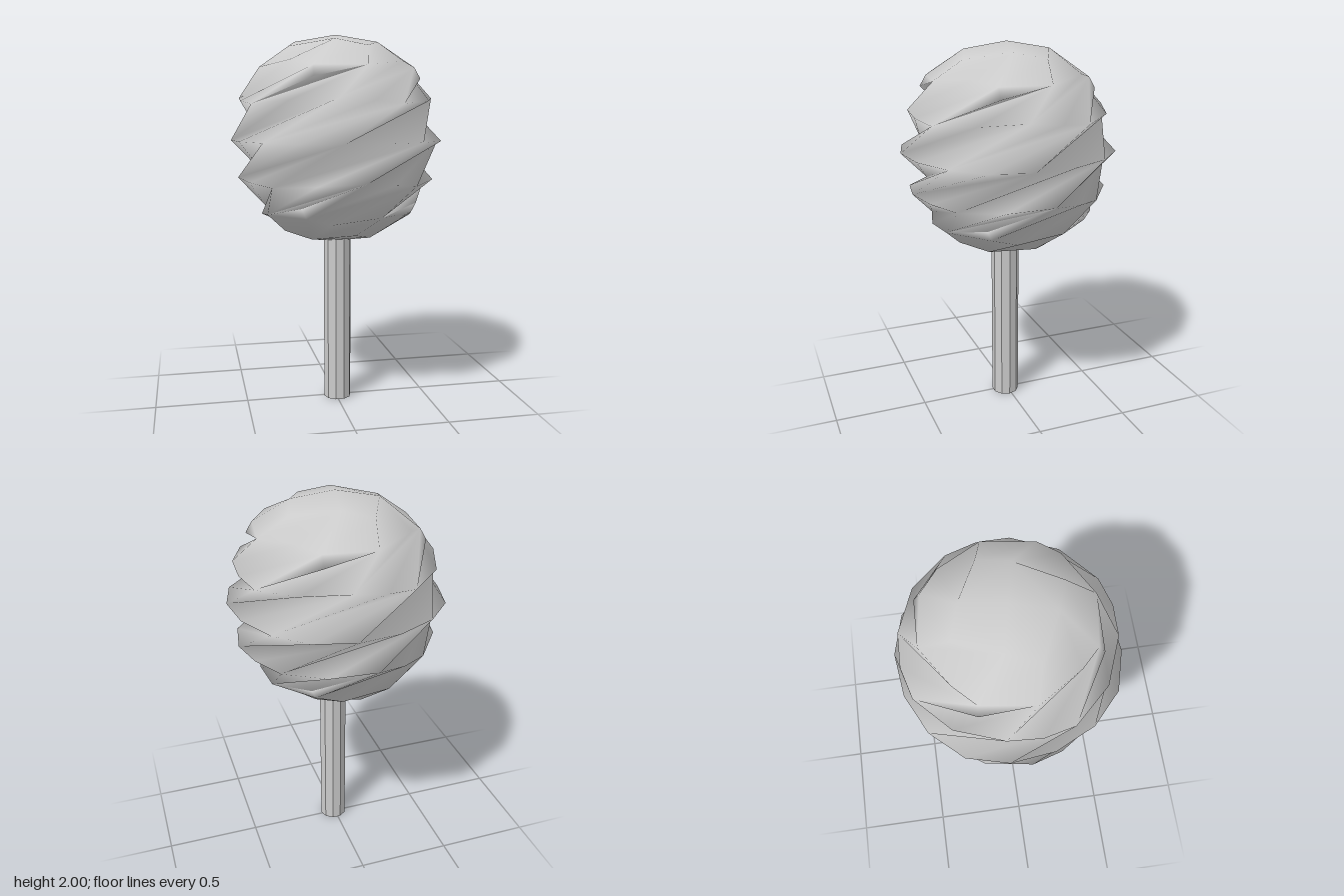
import * as THREE from 'three';
import { mergeVertices } from 'three/addons/utils/BufferGeometryUtils.js';

// Rounded cube face: depth and sideways offset by |grid step| (0 = face centre, 2 = cube edge)
const DEPTH = [[0.878, 0.819, 0.643], [0.819, 0.764, 0.599], [0.643, 0.599, 0.509]];
const SIDE = [[0, 0, 0], [0.351, 0.326, 0.302], [0.643, 0.599, 0.509]];
const SCALE = 0.632;
const TWIST = -5.11; // radians per unit of height
const START = THREE.MathUtils.degToRad(73.7);

function ballPoint(axis, sign, a, b) {
  const i = Math.abs(a), j = Math.abs(b);
  const p = [0, 0, 0];
  p[axis] = sign * DEPTH[i][j] * SCALE;
  p[(axis + 1) % 3] = sign * Math.sign(a) * SIDE[i][j] * SCALE;
  p[(axis + 2) % 3] = Math.sign(b) * SIDE[j][i] * SCALE;
  const [x, y, z] = p;
  const t = START + TWIST * y;
  const c = Math.cos(t), s = Math.sin(t);
  return [x * c - z * s, y, x * s + z * c];
}

// Rounded cube wrung around the vertical axis
function twistedBall() {
  const pos = [];
  for (let axis = 0; axis < 3; axis++) {
    for (const sign of [1, -1]) {
      for (let a = -2; a < 2; a++) {
        for (let b = -2; b < 2; b++) {
          const p = ballPoint(axis, sign, a, b);
          const q = ballPoint(axis, sign, a + 1, b);
          const r = ballPoint(axis, sign, a + 1, b + 1);
          const s = ballPoint(axis, sign, a, b + 1);
          // alternate the diagonal so it joins the odd grid points
          const tris = (a + b) % 2 !== 0 ? [p, q, r, p, r, s] : [p, q, s, q, r, s];
          for (const v of tris) pos.push(...v);
        }
      }
    }
  }
  const g = new THREE.BufferGeometry();
  g.setAttribute('position', new THREE.Float32BufferAttribute(pos, 3));
  const merged = mergeVertices(g, 1e-4);
  merged.computeVertexNormals();
  return merged;
}

export function createModel() {
  const group = new THREE.Group();
  group.name = 'twistedLollipop';

  const ball = new THREE.Mesh(twistedBall(), new THREE.MeshStandardMaterial({ color: 0xcccccc }));
  ball.name = 'twistedBall';
  ball.position.y = 1.445;
  group.add(ball);

  // Ten-sided stick, slightly off the ball's axis
  const stick = new THREE.Mesh(
    new THREE.CylinderGeometry(0.075, 0.075, 0.95, 10),
    new THREE.MeshStandardMaterial({ color: 0xcccccc, flatShading: true })
  );
  stick.name = 'stick';
  stick.rotation.y = Math.PI / 2;
  stick.position.set(0.008, 0.475, 0.012);
  group.add(stick);

  return group;
}
